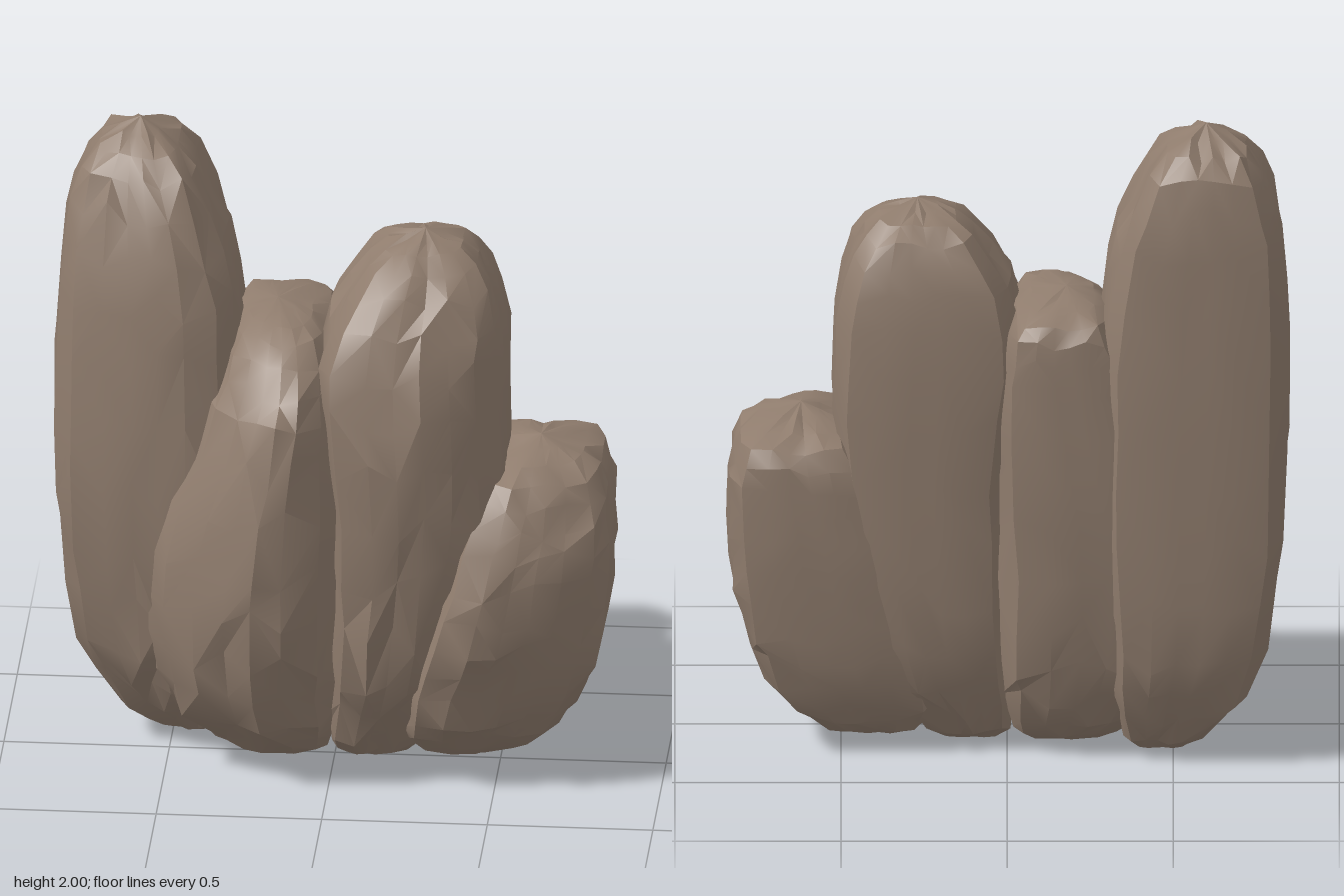
import * as THREE from 'three';
import { toCreasedNormals } from 'three/addons/utils/BufferGeometryUtils.js';

const SIDES = 22;

// Repeatable noise in -1..1
function seeded(seed) {
  let s = seed * 7919;
  return () => {
    s = (s * 16807) % 2147483647;
    return (s / 2147483647) * 2 - 1;
  };
}

// Boxy rounded outline with a front that falls away from a soft ridge
function outlinePoint(angle, ridge, taper) {
  const c = Math.cos(angle), s = Math.sin(angle);
  const r = (Math.abs(c) ** 6 + Math.abs(s) ** 6) ** (-1 / 6);
  const x = c * r, z = s * r;
  const fall = Math.hypot(x - ridge, .25) - .25;
  return [x, z > 0 ? z * (1 - taper * fall) : z];
}

// Rows are [y, xMin, xMax, zMin, zMax] from the bottom tip to the top tip
function makeRock(seed, rows, ridge, taper, chipAt, chipNormal) {
  const rand = seeded(seed);
  const rail = (x, z) => new THREE.CatmullRomCurve3(
    rows.map(r => new THREE.Vector3(r[x], r[0], r[z])), false, 'catmullrom')
    .getPoints((rows.length - 1) * 3);
  const low = rail(1, 3), high = rail(2, 4);
  const rings = low.length - 2;
  const origin = new THREE.Vector3(...chipAt);
  const normal = new THREE.Vector3(...chipNormal).normalize();
  const points = [];

  // Roughened rings between the two rails, flattened outside the chip plane
  for (let j = 1; j <= rings; j++) {
    const centre = low[j].clone().lerp(high[j], .5);
    const half = high[j].clone().sub(centre);
    const gap = Math.min(low[j].y - low[j - 1].y, low[j + 1].y - low[j].y);
    for (let i = 0; i < SIDES; i++) {
      const [x, z] = outlinePoint((i / SIDES) * Math.PI * 2, ridge, taper);
      const k = 1 + rand() * .045;
      const p = new THREE.Vector3(
        centre.x + x * half.x * Math.min(k, 1.015),
        centre.y + rand() * gap * .35,
        centre.z + z * half.z * (z < -.8 ? 1 : k));
      const outside = p.clone().sub(origin).dot(normal);
      if (outside > 0) p.addScaledVector(normal, -Math.min(outside, .05));
      points.push(p);
    }
  }

  // Skin with random diagonals for irregular facets, closed at both tips
  const bottom = points.push(low[0]) - 1;
  const top = points.push(low[rings + 1]) - 1;
  const last = (rings - 1) * SIDES;
  const index = [];
  for (let i = 0; i < SIDES; i++) {
    const next = (i + 1) % SIDES;
    for (let j = 0; j < rings - 1; j++) {
      const a = j * SIDES + i, b = j * SIDES + next;
      const c = b + SIDES, d = a + SIDES;
      if (rand() > 0) index.push(a, d, c, a, c, b);
      else index.push(a, d, b, d, c, b);
    }
    index.push(bottom, i, next, top, last + next, last + i);
  }
  const geometry = new THREE.BufferGeometry().setFromPoints(points);
  geometry.setIndex(index);
  return toCreasedNormals(geometry, .42);
}

export function createModel() {
  const model = new THREE.Group();
  model.name = 'rockCluster';
  const stone = new THREE.MeshStandardMaterial({ color: 0x8f7c6d });
  stone.name = 'brown stone';

  const addRock = (name, ...shape) => {
    const mesh = new THREE.Mesh(makeRock(...shape), stone);
    mesh.name = name;
    model.add(mesh);
  };

  addRock('tallRock', 11, [
    [0, -.46, -.46, -.17, -.17],
    [.06, -.59, -.35, -.31, -.03],
    [.35, -.785, -.3, -.42, .14],
    [.9, -.84, -.28, -.43, .21],
    [1.5, -.84, -.3, -.41, .17],
    [1.87, -.77, -.43, -.37, .05],
    [2, -.6, -.6, -.17, -.17],
  ], .5, .28, [-.79, 1.2, .1], [-.75, .1, .65]);

  addRock('frontRock', 23, [
    [.005, -.16, -.16, -.07, -.07],
    [.05, -.36, -.02, -.23, .13],
    [.3, -.54, .02, -.35, .36],
    [.75, -.55, .03, -.39, .43],
    [1.2, -.38, .02, -.38, .37],
    [1.4, -.3, -.03, -.34, .17],
    [1.45, -.18, -.18, -.1, -.1],
  ], .3, .46, [-.47, .32, .2], [-.8, -.25, .55]);

  addRock('middleRock', 37, [
    [.005, .11, .11, -.05, -.05],
    [.05, -.01, .25, -.2, .1],
    [.35, 0, .42, -.32, .31],
    [.9, 0, .52, -.33, .37],
    [1.36, -.04, .515, -.31, .32],
    [1.63, .1, .43, -.24, .13],
    [1.715, .27, .27, -.05, -.05],
  ], -.4, .22, [.48, 1.25, .18], [.8, .1, .55]);

  addRock('shortRock', 53, [
    [.005, .4, .4, -.05, -.05],
    [.06, .25, .57, -.21, .12],
    [.22, .21, .73, -.3, .28],
    [.5, .28, .825, -.33, .37],
    [.78, .37, .84, -.33, .34],
    [.98, .46, .8, -.29, .22],
    [1.055, .62, .62, -.04, -.04],
  ], -.5, .32, [.7, .38, .24], [.6, -.15, .8]);

  return model;
}
